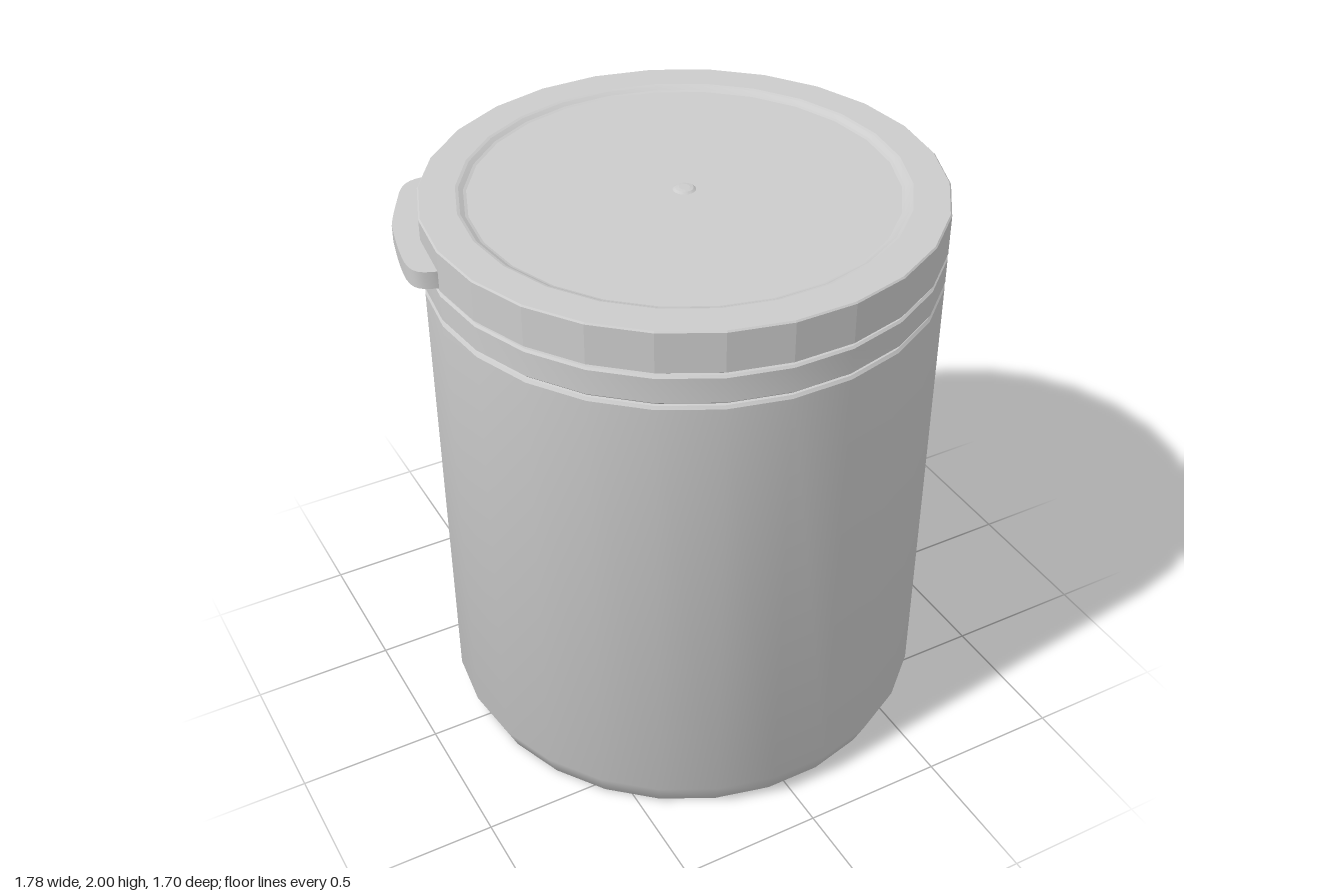
import * as THREE from 'three';
import { toCreasedNormals } from 'three/addons/utils/BufferGeometryUtils.js';

const SIDES = 26;
const R = 0.857;
const CENTRE_X = 0.033;

export function createModel() {
  const model = new THREE.Group();
  model.name = 'lidded jar';
  const material = new THREE.MeshStandardMaterial({ color: 0xcccccc });

  // Turned part with a corner on the x axis; creaseAngle decides which edges stay sharp
  function turned(name, profile, creaseAngle) {
    const points = profile.map(([r, y]) => new THREE.Vector2(r, y));
    const lathe = new THREE.LatheGeometry(points, SIDES, Math.PI / 2);
    const mesh = new THREE.Mesh(toCreasedNormals(lathe, creaseAngle), material);
    mesh.name = name;
    mesh.position.x = CENTRE_X;
    model.add(mesh);
  }

  // Smooth body with a chamfered foot and a narrow neck under the collar
  turned('body', [
    [0, 0], [0.805, 0], [0.815, 0.007], [R, 0.1], [R, 1.727],
    [0.85, 1.737], [0.838, 1.74], [0.838, 1.86], [0, 1.86],
  ], 0.6);

  // Collar band between the body and the lid
  turned('collar', [
    [0.83, 1.745], [0.85, 1.745], [R, 1.752], [R, 1.838], [0.85, 1.845], [0.83, 1.845],
  ], 0.6);

  // Faceted lid: shallow recessed top with a small pip in the middle
  turned('lid', [
    [0, 1.853], [0.85, 1.853], [R, 1.858], [R, 1.995], [0.852, 2],
    [0.735, 2], [0.725, 1.997], [0.71, 1.988], [0.7, 1.985],
    [0.038, 1.985], [0.03, 1.991], [0.018, 1.993], [0, 1.993],
  ], 0.15);

  // Pull tab on the lid's back right edge, drawn as x and -z, then laid flat
  const outline = new THREE.Shape();
  outline.moveTo(-0.58, 0.575);
  outline.lineTo(-0.61, 0.575);
  outline.bezierCurveTo(-0.67, 0.59, -0.71, 0.58, -0.745, 0.52);
  outline.bezierCurveTo(-0.775, 0.465, -0.82, 0.39, -0.845, 0.33);
  outline.bezierCurveTo(-0.86, 0.27, -0.885, 0.18, -0.893, 0.1);
  outline.bezierCurveTo(-0.897, 0.03, -0.87, 0.02, -0.82, 0.003);
  outline.lineTo(-0.76, 0.003);
  outline.closePath();
  const tabGeometry = new THREE.ExtrudeGeometry(outline, {
    depth: 0.06, bevelEnabled: false, curveSegments: 6,
  });
  tabGeometry.rotateX(-Math.PI / 2);
  const tab = new THREE.Mesh(toCreasedNormals(tabGeometry, 0.6), material);
  tab.name = 'pullTab';
  tab.position.y = 1.865;
  model.add(tab);

  return model;
}
